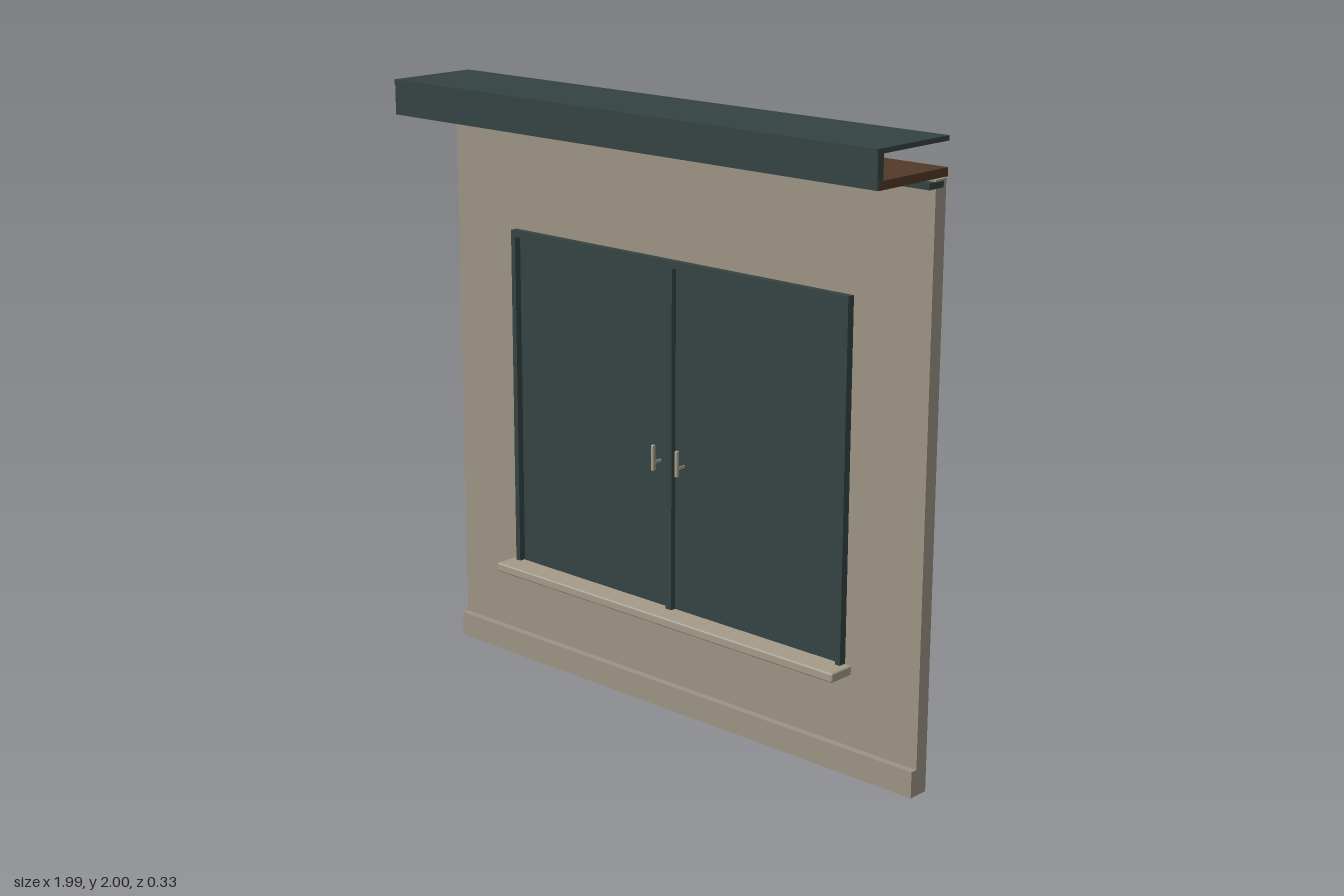
import * as THREE from 'three';
import { RoundedBoxGeometry } from 'three/addons/geometries/RoundedBoxGeometry.js';

const mat = (name, color) => {
  const m = new THREE.MeshStandardMaterial({ color });
  m.name = name;
  return m;
};

export function createModel() {
  const plaster = mat('warm grey plaster', 0x9c9484);
  const stone = mat('pale stone', 0xa49b89);
  const darkMetal = mat('dark slate metal', 0x354343);
  const timber = mat('brown timber', 0x543a2a);

  const model = new THREE.Group();
  model.name = 'shutteredWall';

  // Box given by its extents on each axis; a radius rounds its edges
  function box(name, material, [x0, x1], [y0, y1], [z0, z1], radius = 0) {
    const size = [x1 - x0, y1 - y0, z1 - z0];
    const geometry = radius
      ? new RoundedBoxGeometry(...size, 2, radius)
      : new THREE.BoxGeometry(...size);
    const mesh = new THREE.Mesh(geometry, material);
    mesh.name = name;
    mesh.position.set((x0 + x1) / 2, (y0 + y1) / 2, (z0 + z1) / 2);
    model.add(mesh);
  }
  // The same box on both sides of x = 0
  function pair(name, material, [x0, x1], y, z, radius) {
    box(name + 'Left', material, [x0, x1], y, z, radius);
    box(name + 'Right', material, [-x1, -x0], y, z, radius);
  }

  const W = 0.995;
  const wallZ = [-0.155, -0.107];

  // Wall panels around the opening, and the plinth
  pair('wallPier', plaster, [0.70, W], [0, 1.88], wallZ);
  box('wallAbove', plaster, [-0.70, 0.70], [1.495, 1.88], wallZ);
  box('wallBelow', plaster, [-0.70, 0.70], [0, 0.34], wallZ);
  box('plinth', plaster, [-W, W], [0, 0.085], [-0.11, -0.083]);

  // Window frame and sill
  const frameZ = [-0.107, -0.081];
  pair('frameJamb', darkMetal, [0.694, 0.713], [0.35, 1.505], frameZ);
  box('frameHead', darkMetal, [-0.713, 0.713], [1.483, 1.505], frameZ);
  box('frameMullion', darkMetal, [-0.012, 0.012], [0.35, 1.483], frameZ);
  box('sill', stone, [-0.738, 0.738], [0.32, 0.351], [-0.108, -0.013], 0.006);

  // Two shutter leaves with pull handles
  pair('shutter', darkMetal, [0.008, 0.69], [0.34, 1.495], [-0.13, -0.1]);
  pair('handleGrip', stone, [0.046, 0.057], [0.815, 0.902], [-0.07, -0.058], 0.003);
  pair('handleStem', stone, [0.049, 0.054], [0.838, 0.847], [-0.1, -0.068]);

  // Trim strip at the wall head
  box('headTrim', darkMetal, [-W - 0.001, W + 0.001], [1.855, 1.874], [-0.142, -0.075]);

  // Eaves: soffit, fascia and roof slab, open at the back and ends
  box('soffit', timber, [-W - 0.001, W + 0.001], [1.884, 1.91], [-0.16, 0.155]);
  box('fascia', darkMetal, [-W, W], [1.885, 1.985], [0.134, 0.16]);
  box('roofSlab', darkMetal, [-W, W], [1.985, 2], [-0.163, 0.163]);

  return model;
}
